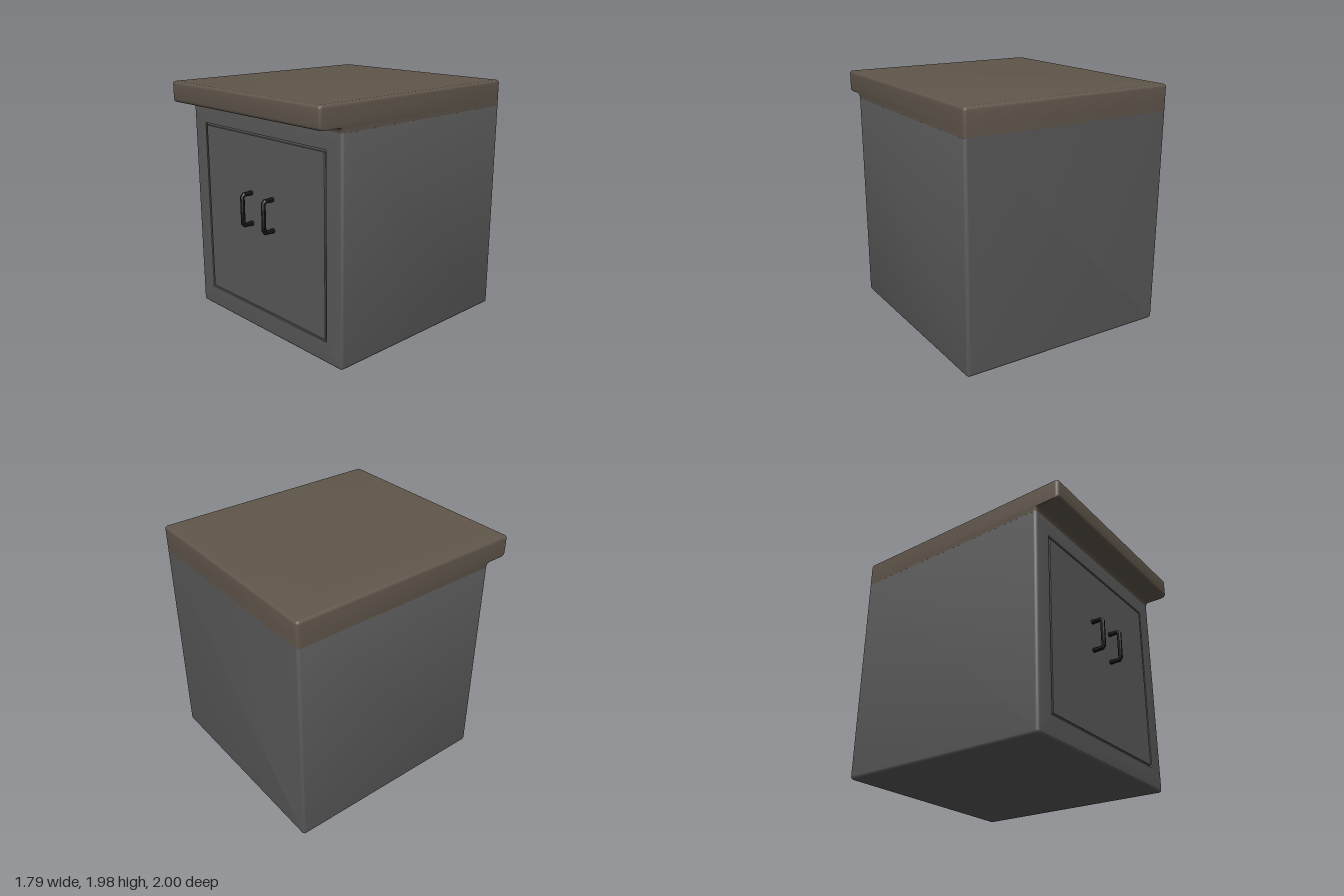
import * as THREE from 'three';
import { toCreasedNormals } from 'three/addons/utils/BufferGeometryUtils.js';

const R = 0.025; // edge rounding
const HALF = 0.895; // half width
const BACK = -1, FACE = 0.8, LIP = 1; // depths along z
const SPLIT = 1.77, TOP = 1.98; // heights

// Skins a row of equal-length point rings and caps both ends.
function loft(rings) {
  const n = rings[0].length, index = [];
  for (let k = 0; k < rings.length - 1; k++) {
    for (let i = 0; i < n; i++) {
      const j = (i + 1) % n, a = k * n + i, b = k * n + j;
      index.push(a, b, b + n, a, b + n, a + n);
    }
  }
  const last = (rings.length - 1) * n;
  for (let i = 1; i < n - 1; i++) {
    index.push(0, i + 1, i, last, last + i, last + i + 1);
  }
  const geometry = new THREE.BufferGeometry().setFromPoints(rings.flat());
  geometry.setIndex(index);
  return toCreasedNormals(geometry, 0.6);
}

// Counter-clockwise rounded rectangle; r0 rounds the low-v corners, r1 the high-v ones.
function roundRect(u0, u1, v0, v1, r0, r1 = r0) {
  const corners = [
    [u1 - r1, v1 - r1, r1], [u0 + r1, v1 - r1, r1],
    [u0 + r0, v0 + r0, r0], [u1 - r0, v0 + r0, r0],
  ];
  return corners.flatMap(([u, v, r], c) => [0, 1, 2, 3, 4].map((i) => {
    const t = (c + i / 4) * Math.PI / 2;
    return [u + r * Math.cos(t), v + r * Math.sin(t)];
  }));
}

// Quarter-round steps as [along, inset] pairs, from the end face to full size.
const round = [0, 1, 2, 3, 4].map((i) => {
  const t = i / 4 * Math.PI / 2;
  return [R * (1 - Math.cos(t)), R * (1 - Math.sin(t))];
});

// Cabinet body, lofted from back to front, ending in the grooved door outline.
function cabinetGeometry() {
  const ring = (z, half, y0, y1, r) =>
    roundRect(-half, half, y0, y1, r, 0.0005).map(([x, y]) => new THREE.Vector3(x, y, z));
  const outer = (z, inset) => ring(z, HALF - inset, inset, SPLIT, R - inset + 0.001);
  const groove = (z, inset) => ring(z, 0.733 - inset, 0.175 + inset, 1.635 - inset, 0.0005);
  return loft([
    ...round.map(([d, inset]) => outer(BACK + d, inset)),
    ...[...round].reverse().map(([d, inset]) => outer(FACE - d, inset)),
    groove(FACE, 0), groove(FACE - 0.015, 0),
    groove(FACE - 0.015, 0.018), groove(FACE, 0.018),
  ]);
}

// Countertop, lofted upwards, with a coved underside below the front lip.
function countertopGeometry() {
  const ring = (y, front, inset = 0) =>
    roundRect(BACK + inset, front - inset, -HALF + inset, HALF - inset, R - inset + 0.001)
      .map(([z, x]) => new THREE.Vector3(x, y, z));
  const cove = [0, 1, 2, 3, 4].map((i) => {
    const t = i / 4 * Math.PI / 2;
    return ring(SPLIT + 0.04 * Math.sin(t), FACE + 0.04 * (1 - Math.cos(t)));
  });
  return loft([
    ...cove,
    ...round.map(([d, inset]) => ring(SPLIT + 0.04 + d, LIP - inset)),
    ...[...round].reverse().map(([d, inset]) => ring(TOP - d, LIP, inset)),
  ]);
}

// Bar handle: an eight-sided rod mitred along a chamfered U.
function handleGeometry() {
  const half = [[0.79, 0.125], [0.877, 0.125], [0.892, 0.107]];
  const path = [
    ...half.map(([z, y]) => new THREE.Vector3(0, 1.028 - y, z)),
    ...half.reverse().map(([z, y]) => new THREE.Vector3(0, 1.028 + y, z)),
  ];
  const across = new THREE.Vector3(1, 0, 0);
  const rings = path.map((p, k) => {
    const before = p.clone().sub(path[Math.max(k - 1, 0)]).normalize();
    const after = path[Math.min(k + 1, path.length - 1)].clone().sub(p).normalize();
    const side = before.add(after).normalize().cross(across);
    return Array.from({ length: 8 }, (_, i) => {
      const t = (i + 0.5) / 8 * Math.PI * 2;
      return p.clone().addScaledVector(across, 0.019 * Math.cos(t))
        .addScaledVector(side, 0.019 * Math.sin(t));
    });
  });
  return loft(rings);
}

export function createModel() {
  const model = new THREE.Group();
  model.name = 'cabinet';
  const add = (name, geometry, color) => {
    const mesh = new THREE.Mesh(geometry, new THREE.MeshStandardMaterial({ color }));
    mesh.name = name;
    model.add(mesh);
    return mesh;
  };

  add('cabinetBody', cabinetGeometry(), 0x595959);
  add('countertop', countertopGeometry(), 0x60564b);

  // Pair of door handles
  const handle = handleGeometry();
  add('leftHandle', handle, 0x1c1c1c).position.x = 0.132;
  add('rightHandle', handle, 0x1c1c1c).position.x = -0.132;

  return model;
}
